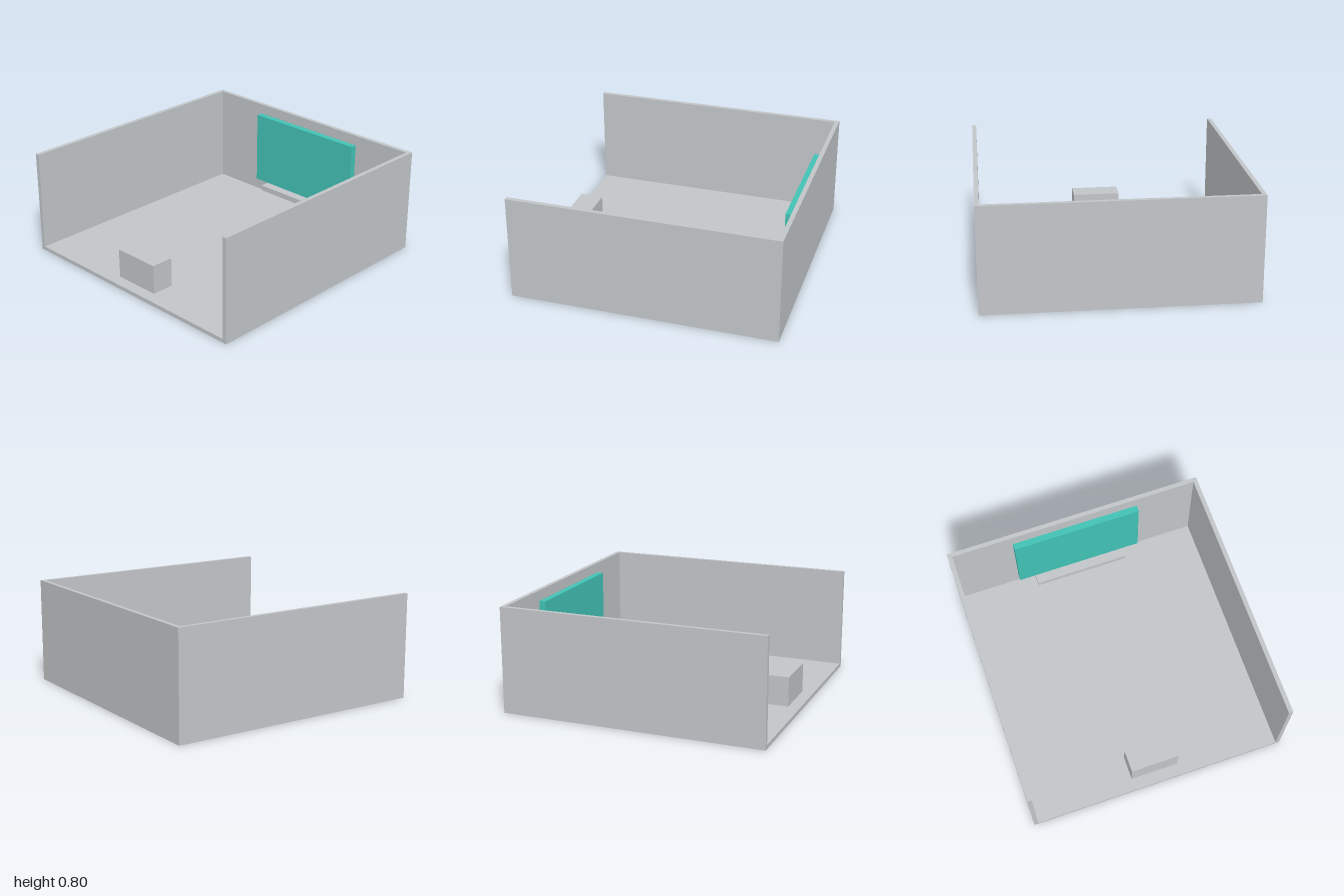
import * as THREE from 'three';

export function createModel() {
  const group = new THREE.Group();
  const grey = new THREE.MeshStandardMaterial({ color: 0xc2c5c8 });
  grey.name = 'lightGrey';
  const teal = new THREE.MeshStandardMaterial({ color: 0x42c2b4 });
  teal.name = 'teal';

  // Box given by its limits along each axis
  function box(name, material, [x0, x1], [y0, y1], [z0, z1]) {
    const mesh = new THREE.Mesh(new THREE.BoxGeometry(x1 - x0, y1 - y0, z1 - z0), material);
    mesh.position.set((x0 + x1) / 2, (y0 + y1) / 2, (z0 + z1) / 2);
    mesh.name = name;
    group.add(mesh);
  }

  // Room shell: one U-shaped wall around the back and sides, open at the front
  const t = 0.033, height = 0.8, floorTop = 0.03;
  const plan = new THREE.Shape([
    [-1, -1], [-1 + t, -1], [-1 + t, 1 - t], [1 - t, 1 - t],
    [1 - t, -1], [1, -1], [1, 1], [-1, 1],
  ].map(([x, y]) => new THREE.Vector2(x, y)));
  const wallGeometry = new THREE.ExtrudeGeometry(plan, { depth: height, bevelEnabled: false });
  wallGeometry.rotateX(-Math.PI / 2);
  const walls = new THREE.Mesh(wallGeometry, grey);
  walls.name = 'walls';
  group.add(walls);
  box('floor', grey, [-1 + t, 1 - t], [0, floorTop], [-1 + t, 1]);

  // Wall screen with its backing plate
  box('screen', teal, [-0.5, 0.5], [0.15, 0.727], [-0.953, -0.903]);
  box('screenBacking', grey, [-0.41, 0.41], [0.22, 0.66], [-0.96, -0.94]);

  // Low shelf under the screen
  box('shelf', grey, [-0.372, 0.372], [0.105, 0.149], [-1 + t, -0.83]);

  // Lectern block near the open front
  box('lectern', grey, [-0.186, 0.186], [floorTop, 0.255], [0.735, 0.91]);

  return group;
}
